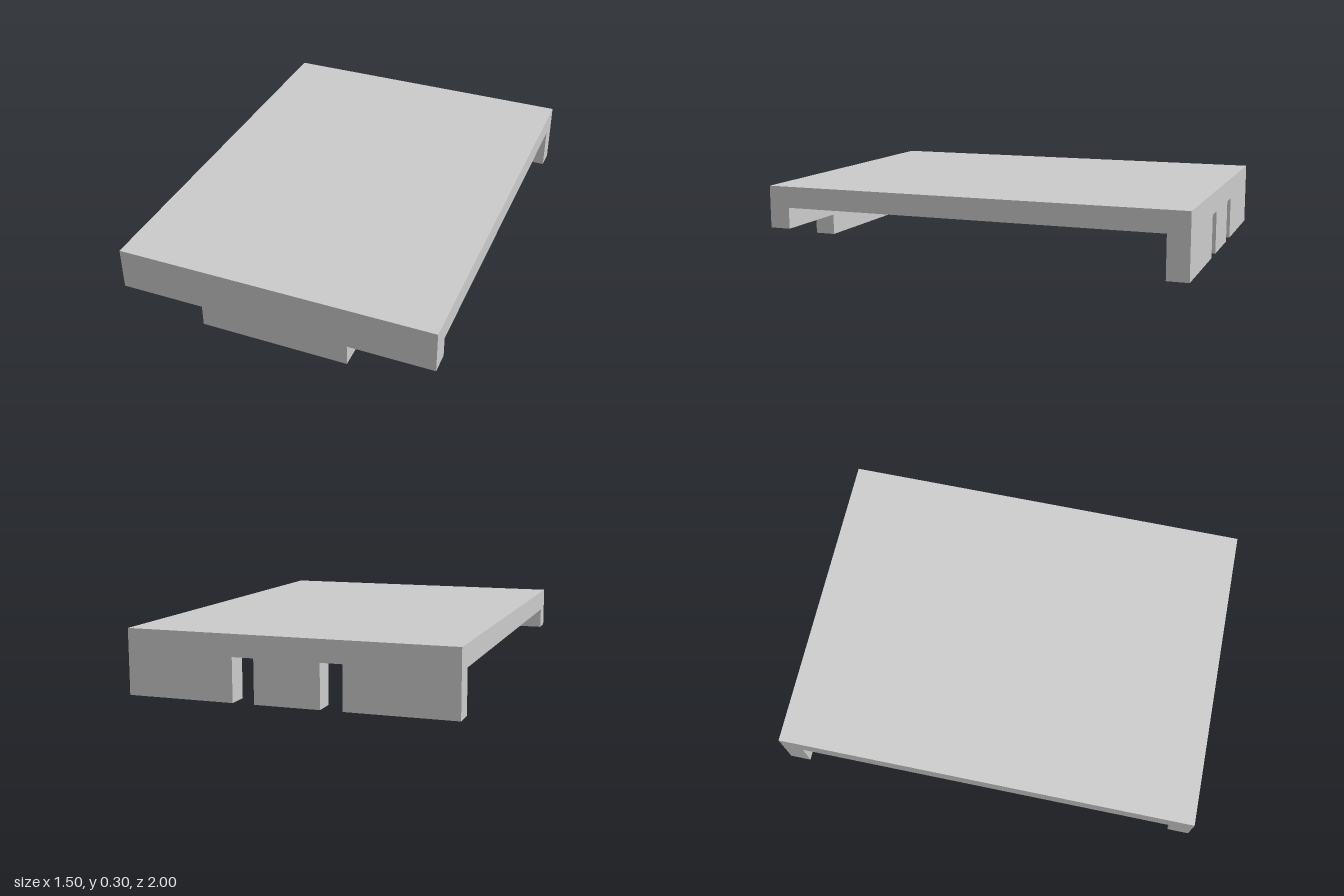
import * as THREE from 'three';

const WIDTH = 1.5, LENGTH = 2, THICK = 0.1, DECK_Y = 0.2;

export function createModel() {
  const group = new THREE.Group();
  const material = new THREE.MeshStandardMaterial({ color: 0xcccccc });

  function add(name, geometry, x, y, z) {
    const mesh = new THREE.Mesh(geometry, material);
    mesh.name = name;
    mesh.position.set(x, y, z);
    group.add(mesh);
  }

  // Flat top slab
  add('deck', new THREE.BoxGeometry(WIDTH, THICK, LENGTH), 0, DECK_Y + THICK / 2, 0);

  // Front skirt: shallow at the sides, with a deeper tab in the middle
  const front = new THREE.Shape([
    [-0.75, 0.1], [-0.35, 0.1], [-0.35, 0], [0.35, 0],
    [0.35, 0.1], [0.75, 0.1], [0.75, DECK_Y], [-0.75, DECK_Y],
  ].map(([x, y]) => new THREE.Vector2(x, y)));
  add('frontSkirt', new THREE.ExtrudeGeometry(front, { depth: THICK, bevelEnabled: false }),
    0, 0, LENGTH / 2 - THICK);

  // Back skirt: three legs divided by two full-height slots
  const backLegs = [['backRightLeg', -0.75, -0.25], ['backMiddleLeg', -0.15, 0.15], ['backLeftLeg', 0.25, 0.75]];
  for (const [name, x0, x1] of backLegs) {
    add(name, new THREE.BoxGeometry(x1 - x0, DECK_Y, THICK),
      (x0 + x1) / 2, DECK_Y / 2, -LENGTH / 2 + THICK / 2);
  }

  return group;
}
